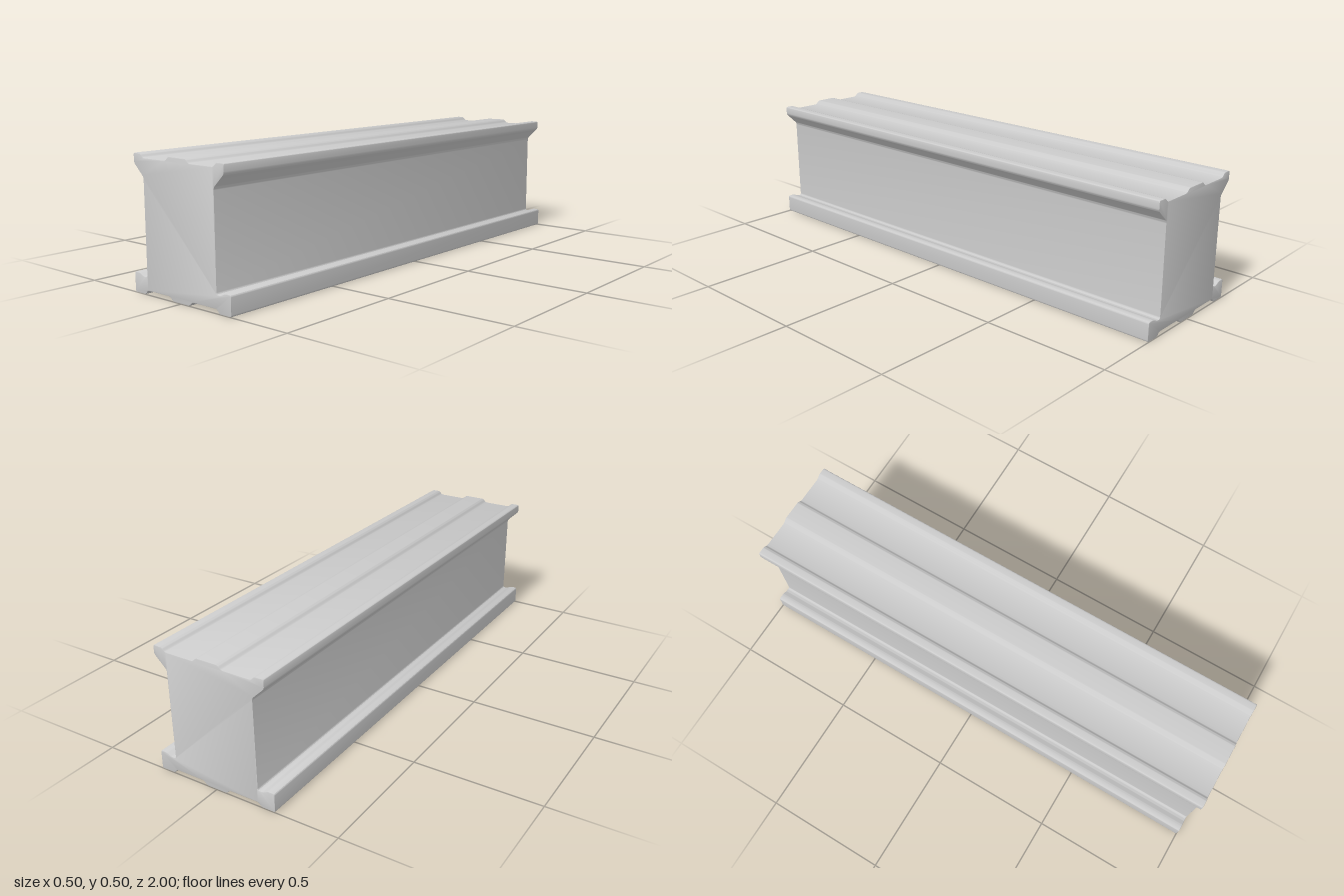
import * as THREE from 'three';
import { toCreasedNormals } from 'three/addons/utils/BufferGeometryUtils.js';

// Right half of the beam's cross-section, bottom centre to top centre
const HALF = [
  [0.044, 0], [0.057, 0.015], [0.181, 0.015], [0.191, 0],
  [0.25, 0], [0.25, 0.075], [0.222, 0.075], [0.2, 0.064], [0.181, 0.064],
  [0.181, 0.417], [0.231, 0.465], [0.231, 0.5], [0.194, 0.5],
  [0.18, 0.485], [0.06, 0.485], [0.045, 0.5],
];

// Closed outline with every corner softened by a small curve
function roundedShape(points, radius) {
  const pts = points.map(([x, y]) => new THREE.Vector2(x, y));
  const n = pts.length;
  const shape = new THREE.Shape();
  pts.forEach((p, i) => {
    const toward = (q) => p.clone().add(
      q.clone().sub(p).setLength(Math.min(radius, p.distanceTo(q) * 0.45)));
    const a = toward(pts[(i + n - 1) % n]);
    const b = toward(pts[(i + 1) % n]);
    if (i === 0) shape.moveTo(a.x, a.y);
    else shape.lineTo(a.x, a.y);
    shape.quadraticCurveTo(p.x, p.y, b.x, b.y);
  });
  shape.closePath();
  return shape;
}

export function createModel() {
  const group = new THREE.Group();
  group.name = 'beam';
  const grey = new THREE.MeshStandardMaterial({ color: 0xcccccc });
  grey.name = 'plain grey';

  // Mirror the half section and extrude it along the beam's length
  const mirrored = HALF.map(([x, y]) => [-x, y]).reverse();
  const bevel = 0.003;
  const geometry = new THREE.ExtrudeGeometry(roundedShape([...HALF, ...mirrored], 0.008), {
    depth: 2 - 2 * bevel,
    curveSegments: 4,
    bevelEnabled: true,
    bevelThickness: bevel,
    bevelSize: bevel,
    bevelOffset: -bevel,
    bevelSegments: 2,
  });
  geometry.translate(0, 0, -1 + bevel);

  const body = new THREE.Mesh(toCreasedNormals(geometry, 0.6), grey);
  body.name = 'flangedBeam';
  group.add(body);
  return group;
}
